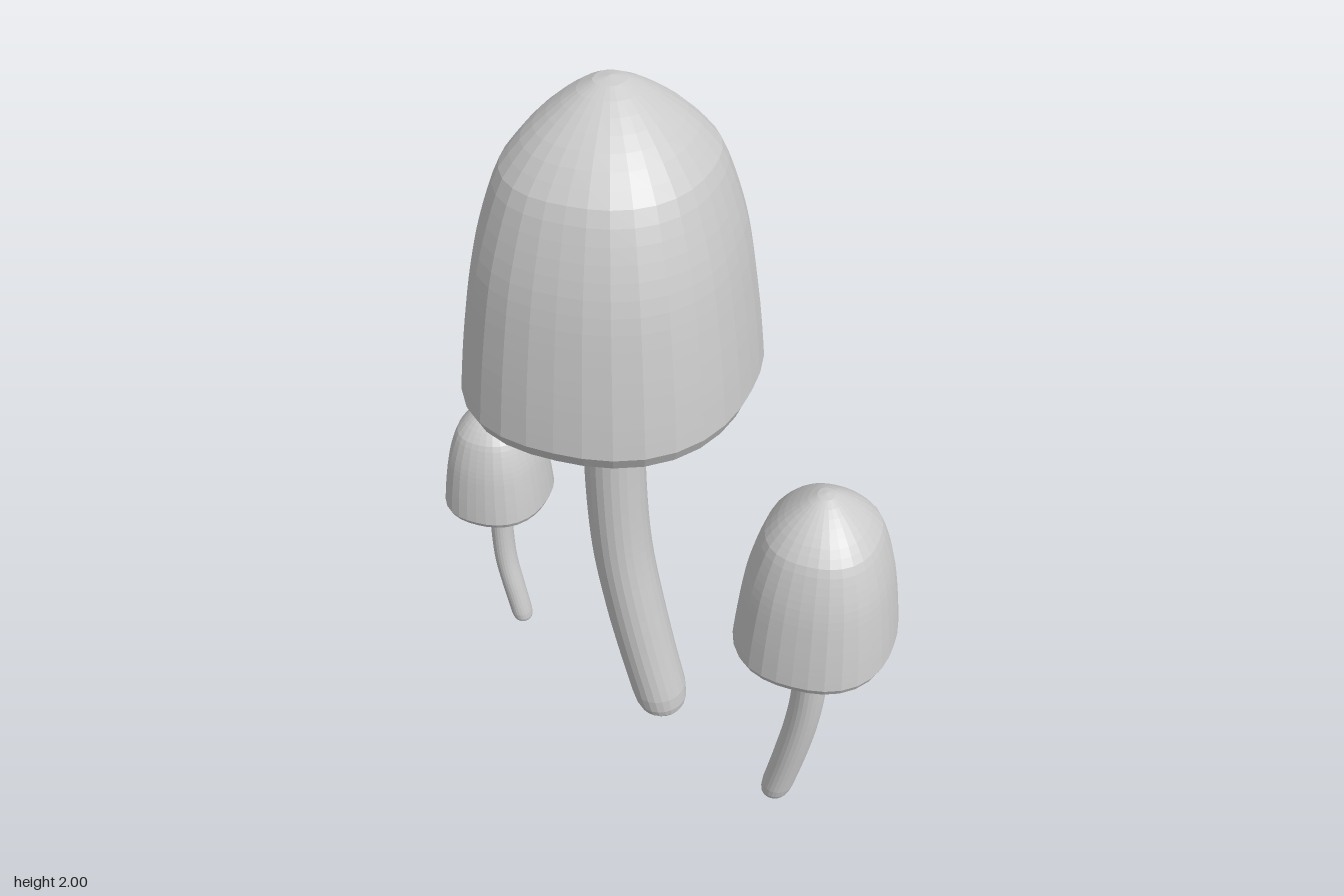
import * as THREE from 'three';

const V2 = (p) => new THREE.Vector2(p[0], p[1]);
const V3 = (p) => new THREE.Vector3(p[0], p[1], p[2]);

const material = new THREE.MeshStandardMaterial({ color: 0xcccccc, flatShading: true });

// Cap profile for the tallest mushroom: hollow underside, then rim, then outer dome
const underside = new THREE.SplineCurve([
  [0, 0.33], [0.09, 0.31], [0.18, 0.25], [0.26, 0.14], [0.315, 0.03], [0.33, 0.005],
].map(V2));
const dome = new THREE.SplineCurve([
  [0.355, 0], [0.368, 0.012], [0.369, 0.045], [0.35, 0.23], [0.318, 0.43], [0.265, 0.605],
  [0.225, 0.67], [0.17, 0.73], [0.095, 0.79], [0.035, 0.824], [0, 0.83],
].map(V2));

// Squarish oval cap, a little deeper than it is wide
function makeCap(scale, height) {
  const points = [...underside.getSpacedPoints(12), ...dome.getSpacedPoints(24)];
  points.forEach((p) => { p.x = Math.max(p.x, 0); });
  points[0].x = points[points.length - 1].x = 0;
  const geometry = new THREE.LatheGeometry(points, 32);
  const pos = geometry.attributes.position;
  const n = 2.4;
  for (let i = 0; i < pos.count; i++) {
    const x = pos.getX(i), z = pos.getZ(i), r = Math.hypot(x, z);
    if (r < 1e-6) continue;
    const k = Math.pow(Math.abs(x / r) ** n + Math.abs(z / r) ** n, -1 / n);
    pos.setX(i, x * k);
    pos.setZ(i, z * k * 1.12);
  }
  geometry.scale(scale, height / 0.83, scale);
  geometry.computeVertexNormals();
  const cap = new THREE.Mesh(geometry, material);
  cap.name = 'cap';
  return cap;
}

// Bent stem: rings along a curve, rounded at the foot and flared where it meets the cap
function makeStem(path, radius, flareStart) {
  const curve = new THREE.CatmullRomCurve3(path.map(V3));
  const rings = 36, sides = 24;
  const length = curve.getLength();
  const verts = [], index = [];
  const ring = (c, r) => {
    for (let j = 0; j < sides; j++) {
      const a = (j / sides) * Math.PI * 2;
      verts.push(c.x + Math.cos(a) * r * 0.95, c.y, c.z + Math.sin(a) * r * 1.05);
    }
  };
  // foot
  const foot = [[0, 0], [0, 0.5], [0.08, 0.7], [0.25, 0.86], [0.5, 0.95]];
  foot.forEach(([d, k]) => ring(curve.getPointAt((d * radius) / length), radius * 0.95 * k));
  // shaft
  for (let i = 0; i <= rings; i++) {
    const u = radius / length + (1 - radius / length) * (i / rings);
    const c = curve.getPointAt(u);
    const top = path[path.length - 1][1];
    const f = Math.max(0, (c.y - flareStart) / (top - flareStart));
    ring(c, radius * (0.95 + 0.05 * Math.min(1, u * 4) + 0.9 * f * f));
  }
  const count = verts.length / 3 / sides;
  for (let i = 0; i < count - 1; i++) {
    for (let j = 0; j < sides; j++) {
      const a = i * sides + j, b = i * sides + ((j + 1) % sides);
      const c = a + sides, d = b + sides;
      index.push(a, c, b, b, c, d);
    }
  }
  const geometry = new THREE.BufferGeometry();
  geometry.setAttribute('position', new THREE.Float32BufferAttribute(verts, 3));
  geometry.setIndex(index);
  geometry.computeVertexNormals();
  const stem = new THREE.Mesh(geometry, material);
  stem.name = 'stem';
  return stem;
}

// Each mushroom: cap placement and size, stem radius and stem path
const mushrooms = [
  {
    name: 'tallMushroom', at: [-0.11, 1.17, -0.02], scale: 1, height: 0.83, radius: 0.087,
    path: [[0.03, 0.003, -0.015], [0.015, 0.08, -0.015], [-0.02, 0.22, -0.015], [-0.06, 0.4, -0.015],
      [-0.095, 0.6, -0.015], [-0.112, 0.85, -0.015], [-0.112, 1.15, -0.018], [-0.11, 1.46, -0.02]],
  },
  {
    name: 'middleMushroom', at: [0.52, 0.65, 0.2], scale: 0.555, height: 0.46, radius: 0.048,
    path: [[0.438, 0.008, 0.2], [0.45, 0.06, 0.2], [0.475, 0.17, 0.2], [0.5, 0.3, 0.2],
      [0.514, 0.42, 0.2], [0.52, 0.62, 0.2], [0.52, 0.81, 0.2]],
  },
  {
    name: 'smallMushroom', at: [-0.575, 0.485, -0.235], scale: 0.415, height: 0.342, radius: 0.035,
    path: [[-0.515, 0.004, -0.22], [-0.524, 0.05, -0.22], [-0.545, 0.14, -0.222], [-0.565, 0.23, -0.226],
      [-0.574, 0.32, -0.23], [-0.576, 0.46, -0.234], [-0.575, 0.6, -0.235]],
  },
];

export function createModel() {
  const model = new THREE.Group();
  model.name = 'mushrooms';
  for (const m of mushrooms) {
    const group = new THREE.Group();
    group.name = m.name;
    const cap = makeCap(m.scale, m.height);
    cap.position.set(...m.at);
    group.add(cap, makeStem(m.path, m.radius, m.at[1] + m.height * 0.06));
    model.add(group);
  }
  return model;
}
